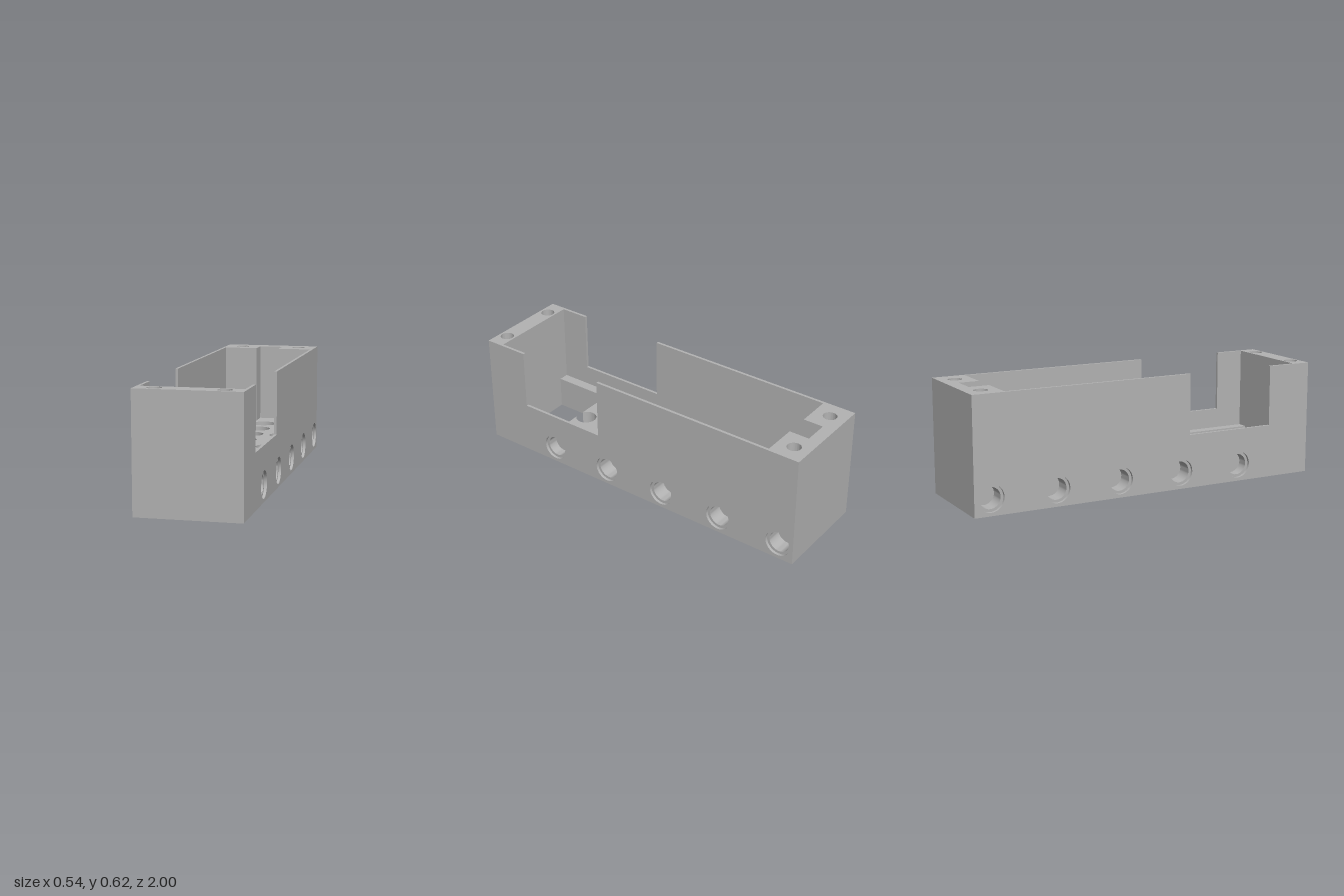
import * as THREE from 'three';
import { toCreasedNormals } from 'three/addons/utils/BufferGeometryUtils.js';

const HALF = 0.272, INNER = 0.257, H = 0.62, FLOOR = 0.18, RECESS = 0.15;
const R = 0.057, R2 = 0.072, LIP = 0.02; // bore radius, counterbore radius and depth
const PITCH = 0.182;

export function createModel() {
  const root = new THREE.Group();
  const grey = new THREE.MeshStandardMaterial({ color: 0xb3b3b3, side: THREE.DoubleSide });
  grey.name = 'plain grey';

  const add = (name, geo, x = 0, y = 0, z = 0) => {
    const m = new THREE.Mesh(geo, grey);
    m.name = name;
    m.position.set(x, y, z);
    root.add(m);
    return m;
  };
  const v = (x, z) => new THREE.Vector2(x, z);
  const arc = (cx, cz, r, a0, a1, n = 32) => Array.from({ length: n + 1 }, (_, i) => {
    const a = a0 + (a1 - a0) * i / n;
    return v(cx + r * Math.cos(a), cz + r * Math.sin(a));
  });
  const circle = (x, z, r) => new THREE.Path(arc(x, z, r, 0, Math.PI * 2, 40).slice(0, -1));
  const rect = (x0, z0, x1, z1) => [v(x0, z0), v(x1, z0), v(x1, z1), v(x0, z1)];

  // horizontal face with holes
  const face = (name, pts, holes, y, up) => {
    const s = new THREE.Shape(pts);
    s.holes = holes;
    const g = new THREE.ShapeGeometry(s);
    g.rotateX(Math.PI / 2);
    if (up) {
      const a = g.index.array;
      for (let i = 0; i < a.length; i += 3) [a[i], a[i + 1]] = [a[i + 1], a[i]];
      g.computeVertexNormals();
    }
    add(name, g, 0, y, 0);
  };
  // vertical wall following an outline
  const ribbon = (name, pts, y0, y1) => {
    const p = [];
    for (let i = 0; i < pts.length - 1; i++) {
      const a = pts[i], b = pts[i + 1];
      p.push(a.x, y0, a.y, b.x, y0, b.y, b.x, y1, b.y, a.x, y0, a.y, b.x, y1, b.y, a.x, y1, a.y);
    }
    const g = new THREE.BufferGeometry();
    g.setAttribute('position', new THREE.Float32BufferAttribute(p, 3));
    g.computeVertexNormals();
    add(name, toCreasedNormals(g, 0.6));
  };
  const lathe = (pts) => toCreasedNormals(new THREE.LatheGeometry(pts, 40), 0.6);

  // positions of the vertical pin holes
  const holes = [];
  for (const k of [-4, -2, 0, 2]) for (const s of [-1, 0, 1]) holes.push([s * PITCH, k * PITCH]);
  holes.push([0, -PITCH], [0, PITCH]);
  const plainHole = [0, -3 * PITCH];
  const inRecess = ([, z]) => z > 0.1;

  // recess outline, bulging around the pin holes it touches
  const EDGE = 0.595, FRONT = 0.905, SIDE = 0.2, BACK = 0.23;
  const b = Math.acos((SIDE - PITCH) / R2), c = Math.asin((BACK - PITCH) / R2);
  const recess = [
    v(-SIDE, EDGE), ...arc(-PITCH, 2 * PITCH, R2, Math.PI - b, Math.PI + b), v(-SIDE, BACK),
    ...arc(0, PITCH, R2, Math.PI - c, 2 * Math.PI + c), v(SIDE, BACK),
    ...arc(PITCH, 2 * PITCH, R2, -b, b), v(SIDE, EDGE),
  ];
  const openFront = [v(SIDE, FRONT), v(-SIDE, FRONT)];
  // partial pin hole breaking into the opening
  const bite = (r) => {
    const a = Math.asin((EDGE - 3 * PITCH) / r);
    return arc(0, 3 * PITCH, r, Math.PI - a, 2 * Math.PI + a);
  };
  const opening = (r) => [v(-SIDE, EDGE), ...bite(r), v(SIDE, EDGE), ...openFront, v(-SIDE, EDGE)];

  // floor faces
  const toPaths = (list, r) => list.map(([x, z]) => circle(x, z, r));
  const plain = circle(...plainHole, R2);
  face('floorUnderside', rect(-HALF, -1, HALF, 1),
    [...toPaths(holes, R2), plain, new THREE.Path(opening(R2).slice(0, -1))], 0, false);
  face('floorTop', rect(-INNER, -0.99, INNER, 0.99),
    [...toPaths(holes.filter(h => !inRecess(h)), R2), plain, new THREE.Path([...recess, ...openFront])], FLOOR, true);
  face('recessFloor', [...recess, ...bite(R).reverse()], toPaths(holes.filter(inRecess), R), RECESS, true);
  face('openingLip', [...bite(R2), ...bite(R).reverse()], [], LIP, false);

  // recess and opening walls
  ribbon('recessWall', [...recess, ...openFront, recess[0]], RECESS, FLOOR);
  ribbon('openingWall', opening(R), LIP, RECESS);
  ribbon('openingLowerWall', opening(R2), 0, LIP);

  // vertical pin holes
  const lower = [v(R2, 0), v(R2, LIP), v(R, LIP)];
  const fullBore = lathe([...lower, v(R, FLOOR - LIP), v(R2, FLOOR - LIP), v(R2, FLOOR)]);
  const shortBore = lathe([...lower, v(R, RECESS)]);
  for (const h of holes) add('floorPinHole', inRecess(h) ? shortBore : fullBore, h[0], 0, h[1]);
  add('cableHole', lathe([v(R2, 0), v(R2, FLOOR)]), plainHole[0], 0, plainHole[1]);

  // side walls with window cut-out and blind pin holes
  const sideZ = [3, 1, -1, -3, -5].map(k => k * PITCH);
  const wall = new THREE.Shape([
    v(-1, 0), v(1, 0), v(1, H), v(0.745, H), v(0.745, 0.29), v(0.237, 0.29), v(0.237, H), v(-1, H),
  ]);
  wall.holes = sideZ.map(z => circle(z, 0.09, R2));
  const T = HALF - INNER;
  const wallGeo = toCreasedNormals(
    new THREE.ExtrudeGeometry(wall, { depth: T, bevelEnabled: false }).rotateY(-Math.PI / 2), 0.6);
  for (const s of [-1, 1]) {
    add(s > 0 ? 'leftWall' : 'rightWall', wallGeo, s > 0 ? HALF : -INNER);
    for (const z of sideZ) {
      const depth = z > 0.5 ? HALF - SIDE : 0.1;
      const bore = lathe([v(R2, T), v(R, T), v(R, depth), v(0, depth)]);
      add('sidePinHole', bore, s * HALF, 0.09, z).rotation.z = s * Math.PI / 2;
    }
  }

  // end blocks with screw holes
  const block = (name, pts, z) => {
    const s = new THREE.Shape(pts);
    s.holes = [-1, 1].map(k => circle(k * 0.172, z, 0.037));
    const g = new THREE.ExtrudeGeometry(s, { depth: H - FLOOR, bevelEnabled: false });
    g.rotateX(Math.PI / 2);
    add(name, toCreasedNormals(g, 0.6), 0, H, 0);
  };
  block('frontBlock', rect(-INNER, FRONT, INNER, 1), 0.952);
  block('backBlock', [
    v(-INNER, -1), v(INNER, -1), v(INNER, -0.822), v(0.067, -0.822), v(0.067, -0.932),
    v(-0.067, -0.932), v(-0.067, -0.822), v(-INNER, -0.822),
  ], -0.912);
  add('frontBase', new THREE.BoxGeometry(2 * INNER, FLOOR, 1 - FRONT), 0, FLOOR / 2, (1 + FRONT) / 2);
  add('backBase', new THREE.BoxGeometry(2 * INNER, FLOOR, 0.014), 0, FLOOR / 2, -0.993);

  return root;
}
